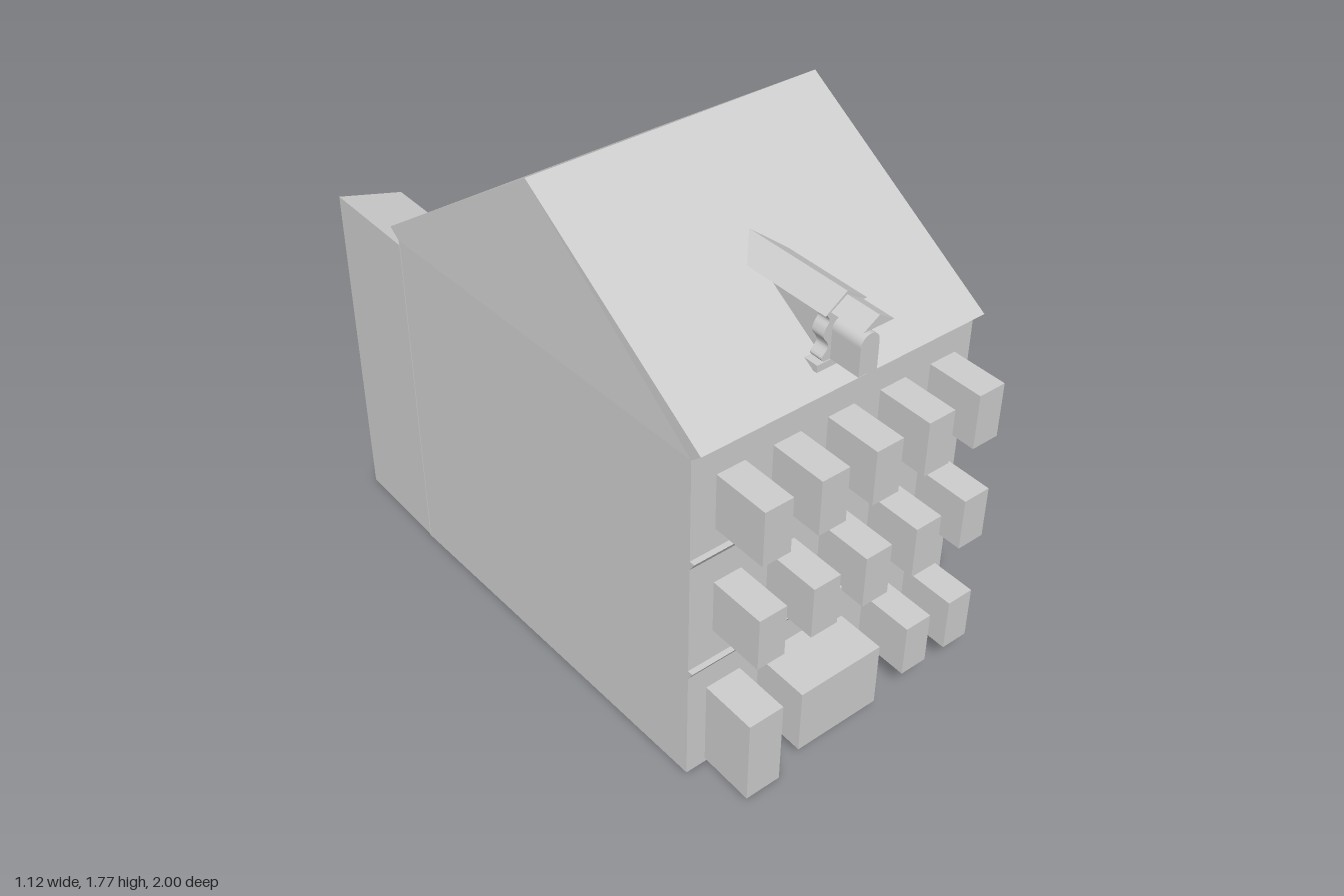
import * as THREE from 'three';

export function createModel() {
  const model = new THREE.Group();
  const grey = new THREE.MeshStandardMaterial({ color: 0xcccccc });
  grey.name = 'plain grey';

  const add = (name, geometry) => {
    const mesh = new THREE.Mesh(geometry, grey);
    mesh.name = name;
    model.add(mesh);
    return mesh;
  };
  const toShape = (pts) => new THREE.Shape(pts.map(([a, b]) => new THREE.Vector2(a, b)));
  // box from its limits
  const block = (name, x0, x1, y0, y1, z0, z1) =>
    add(name, new THREE.BoxGeometry(x1 - x0, y1 - y0, z1 - z0)
      .translate((x0 + x1) / 2, (y0 + y1) / 2, (z0 + z1) / 2));
  // (x, y) outline pushed along z
  const frontExtrude = (shape, z0, z1) =>
    new THREE.ExtrudeGeometry(shape, { depth: z1 - z0, bevelEnabled: false, curveSegments: 10 })
      .translate(0, 0, z0);
  // (z, y) outline pushed along x
  const sideExtrude = (shape, x0, x1) =>
    new THREE.ExtrudeGeometry(shape, { depth: x1 - x0, bevelEnabled: false, curveSegments: 8 })
      .rotateY(-Math.PI / 2).translate(x1, 0, 0);

  // House with flared eaves; the rear is shifted sideways so the plan is skewed
  const house = sideExtrude(toShape([
    [0.8, 0], [0.8, 1.245], [0.84, 1.28], [0.065, 1.77],
    [-0.665, 1.28], [-0.62, 1.25], [-0.62, 0],
  ]), -0.517, 0.56);
  const p = house.attributes.position;
  for (let i = 0; i < p.count; i++) if (p.getZ(i) < 0) p.setX(i, p.getX(i) - 0.044);
  house.computeVertexNormals();
  add('house', house);

  // Rear wing with a sloping top
  add('rearWing', frontExtrude(toShape([
    [-0.563, 0.01], [-0.332, 0.01], [-0.332, 1.17], [-0.563, 1.235],
  ]), -1, -0.615));

  // Storey mouldings, undercut towards the wall
  for (const y of [0.415, 0.85]) {
    add('storeyMoulding', sideExtrude(toShape([
      [0.79, y], [0.8, y], [0.82, y + 0.032], [0.79, y + 0.032],
    ]), -0.517, 0.56));
  }

  // Upper windows
  for (const [y0, y1] of [[0.56, 0.75], [0.955, 1.15]]) {
    for (let i = 0; i < 5; i++) {
      const x = -0.376 + i * 0.205;
      block('upperWindow', x - 0.051, x + 0.051, y0, y1, 0.79, 1);
    }
  }

  // Ground floor openings
  block('door', -0.445, -0.315, 0.015, 0.33, 0.79, 1);
  block('shopWindow', -0.24, 0.08, 0.09, 0.33, 0.79, 1);
  block('groundWindow', 0.198, 0.3, 0.135, 0.33, 0.79, 1);
  block('groundWindow', 0.385, 0.485, 0.135, 0.33, 0.79, 1);

  // Balcony on two scrolled brackets
  block('balcony', -0.075, 0.14, 0.45, 0.575, 0.79, 0.912);
  const bracket = new THREE.Shape();
  bracket.moveTo(0.79, 0.345);
  bracket.lineTo(0.8, 0.345);
  bracket.quadraticCurveTo(0.81, 0.42, 0.865, 0.422);
  bracket.quadraticCurveTo(0.895, 0.415, 0.895, 0.45);
  bracket.lineTo(0.79, 0.45);
  for (const x of [-0.045, 0.107]) add('bracket', sideExtrude(bracket, x - 0.02, x + 0.02));

  // Pediment: a hollow triangular moulding around a recessed panel
  const outer = [[-0.05, 0.88], [0.132, 0.88], [0.041, 0.942]];
  const inner = [[0.005, 0.882], [0.077, 0.882], [0.041, 0.912]];
  const at = (ring, z) => ring.map(([x, y]) => [x, y, z]);
  const rings = [at(outer, 0.795), at(outer, 0.826), at(inner, 0.801)];
  const verts = [];
  for (let r = 0; r < 2; r++) {
    for (let i = 0; i < 3; i++) {
      const j = (i + 1) % 3;
      const [a, b, c, d] = [rings[r][i], rings[r][j], rings[r + 1][j], rings[r + 1][i]];
      verts.push(...a, ...b, ...c, ...a, ...c, ...d);
    }
  }
  verts.push(...rings[2].flat());
  const pediment = new THREE.BufferGeometry();
  pediment.setAttribute('position', new THREE.Float32BufferAttribute(verts, 3));
  pediment.computeVertexNormals();
  add('pediment', pediment);

  // Dormer: walls, plinth, scrolled front, arched window and gabled roof
  const cx = 0.021;
  block('dormerWalls', cx - 0.035, cx + 0.035, 1.33, 1.515, 0.45, 0.76);
  block('dormerPlinth', cx - 0.086, cx + 0.086, 1.32, 1.345, 0.72, 0.79);

  const half = new THREE.SplineCurve([
    [0.06, 1.345], [0.068, 1.36], [0.048, 1.385], [0.05, 1.405], [0.066, 1.43],
    [0.06, 1.455], [0.047, 1.475], [0.055, 1.495], [0.068, 1.512],
  ].map(([x, y]) => new THREE.Vector2(x, y))).getPoints(32);
  add('dormerFront', frontExtrude(toShape([
    ...half.map((v) => [cx + v.x, v.y]),
    ...half.slice().reverse().map((v) => [cx - v.x, v.y]),
  ]), 0.74, 0.787));

  const arch = new THREE.Shape();
  arch.moveTo(cx - 0.035, 1.345);
  arch.lineTo(cx + 0.035, 1.345);
  arch.lineTo(cx + 0.035, 1.442);
  arch.absarc(cx, 1.442, 0.035, 0, Math.PI, false);
  add('dormerWindow', frontExtrude(arch, 0.74, 0.9));

  const gable = (w, y0, y1) => toShape([[cx - w, y0], [cx + w, y0], [cx, y1]]);
  add('dormerRoof', frontExtrude(gable(0.077, 1.51, 1.563), 0.39, 0.8));
  add('dormerGablePanel', frontExtrude(gable(0.057, 1.516, 1.552), 0.79, 0.925));

  return model;
}
